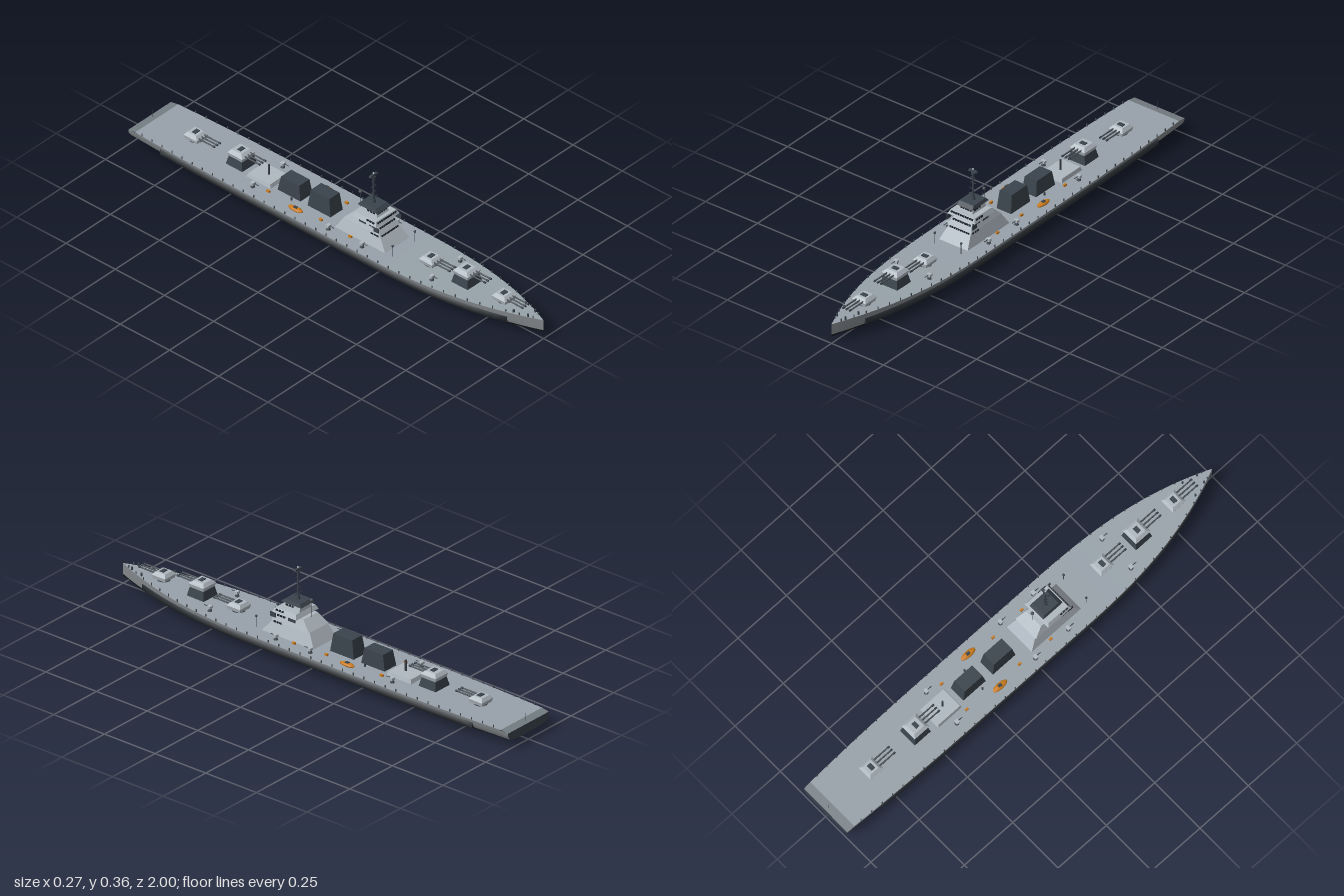
import * as THREE from 'three';

const mat = (color, side = THREE.FrontSide) => new THREE.MeshStandardMaterial({ color, side });
const M = {
  hull: mat(0x84898d, 2), bottom: mat(0x16191c, 2), deck: mat(0x98a2aa, 2), trim: mat(0x747d83, 2),
  dark: mat(0x3a434c, 2), belt: mat(0x2b3035, 2), light: mat(0xb0b9c1), glass: mat(0x1c232b),
  orange: mat(0xc97a1c), metal: mat(0x4a5259),
};

// Hull lines as functions of length
const halfBeam = z => z > 0.2 ? 0.135 * (1 - ((z - 0.2) / 0.8) ** 2.6)
  : z < -0.4 ? 0.135 - 0.015 * ((-0.4 - z) / 0.6) ** 2 : 0.135;
const deckY = z => 0.074 + 0.011 * THREE.MathUtils.smoothstep(z, 0.3, 1);
const keelY = z => 0.03 * Math.max(0, (Math.abs(z) - 0.4) / 0.6) ** 2;
const waterY = z => 0.036 + 0.003 * Math.abs(z) ** 3;
const stations = (a, b, n) => Array.from({ length: n + 1 }, (_, i) => a + (b - a) * i / n);

function loft(name, rows, material) {
  const n = rows[0].length, index = [];
  for (let i = 0; i < rows.length - 1; i++) for (let j = 0; j < n - 1; j++) {
    const a = i * n + j, b = a + n;
    index.push(a, b, a + 1, b, b + 1, a + 1);
  }
  const g = new THREE.BufferGeometry();
  g.setAttribute('position', new THREE.Float32BufferAttribute(rows.flat(2), 3));
  g.setIndex(index);
  g.computeVertexNormals();
  return named(new THREE.Mesh(g, material), name);
}

function named(o, name, x = 0, y = 0, z = 0) {
  o.name = name;
  o.position.set(x, y, z);
  return o;
}
const box = (name, w, h, d, x, y, z, m) => named(new THREE.Mesh(new THREE.BoxGeometry(w, h, d), m), name, x, y, z);
const cyl = (name, r, h, x, y, z, m, r2 = r) =>
  named(new THREE.Mesh(new THREE.CylinderGeometry(r2, r, h, 12), m), name, x, y, z);
const ball = (name, r, x, y, z, m) => named(new THREE.Mesh(new THREE.SphereGeometry(r, 12, 8), m), name, x, y, z);

// Tapered block: [half width, back z, front z] at the foot and at the top
function taper(name, y0, y1, foot, top, m) {
  const g = new THREE.BoxGeometry(2, 1, 1).toNonIndexed(), p = g.attributes.position;
  for (let i = 0; i < p.count; i++) {
    const up = p.getY(i) > 0, s = up ? top : foot;
    p.setXYZ(i, p.getX(i) * s[0], up ? y1 : y0, p.getZ(i) > 0 ? s[2] : s[1]);
  }
  g.computeVertexNormals();
  return named(new THREE.Mesh(g, m), name);
}

function buildHull() {
  const hull = named(new THREE.Group(), 'hull');
  const zs = [...stations(-1, 0.2, 24), ...stations(0.2, 1, 32).slice(1)];
  const wl = z => halfBeam(z) * 0.9;
  for (const s of [-1, 1]) {
    hull.add(loft('topside', zs.map(z => [
      [s * halfBeam(z), z < -0.99 ? 0.069 : deckY(z), z],
      [s * halfBeam(z) * 0.985, 0.055, z], [s * wl(z), waterY(z), z]]), M.hull));
    // Side belt standing just proud of the hull
    const belt = stations(-0.83, 0.86, 40);
    hull.add(loft('armourBelt', belt.map(z => {
      const o = s * (halfBeam(z) + 0.002), i = s * halfBeam(z) * 0.85;
      return [[i, 0.063, z], [o, 0.063, z], [o, 0.039, z], [i, 0.039, z]];
    }), M.belt));
    for (const z of [-0.83, 0.86]) {
      const w = halfBeam(z);
      hull.add(box('beltEnd', w * 0.15 + 0.002, 0.024, 0.001, s * (w * 0.925 + 0.001), 0.051, z, M.belt));
    }
  }
  hull.add(loft('underwaterHull', zs.map(z => stations(0, Math.PI, 20).map(a =>
    [wl(z) * Math.cos(a), waterY(z) - (waterY(z) - keelY(z)) * Math.sin(a), z])), M.bottom));
  hull.add(loft('deck', zs.filter(z => z > -0.965).concat(-0.965).sort((a, b) => a - b).map(z =>
    [[-halfBeam(z), deckY(z), z], [halfBeam(z), deckY(z), z]]), M.deck));
  hull.add(loft('sternRamp', [[-1, 0.069], [-0.965, 0.074]].map(([z, y]) =>
    [[-halfBeam(z), y, z], [halfBeam(z), y, z]]), M.trim));
  // Transom closes the stern
  const t = new THREE.Shape();
  t.moveTo(-0.12, 0.069).lineTo(0.12, 0.069).lineTo(0.118, 0.055);
  for (const a of stations(0, Math.PI, 20)) t.lineTo(0.108 * Math.cos(a), 0.039 - 0.009 * Math.sin(a));
  t.lineTo(-0.118, 0.055);
  hull.add(named(new THREE.Mesh(new THREE.ShapeGeometry(t), M.dark), 'transom', 0, 0, -1));
  return hull;
}

function buildTurret(z, raised) {
  const g = named(new THREE.Group(), 'gunTurret', 0, deckY(z), z);
  const k = raised ? 1.12 : 1, y = raised ? 0.036 : 0.006;
  if (raised) g.add(taper('barbette', 0, 0.036, [0.041, -0.042, 0.042], [0.033, -0.034, 0.034], M.dark));
  else g.add(cyl('turretRing', 0.027, 0.012, 0, 0.004, 0, M.dark));
  g.add(taper('gunHouseLower', y, y + 0.016, [0.029 * k, -0.03 * k, 0.03 * k], [0.033 * k, -0.034 * k, 0.034 * k], M.light));
  g.add(taper('gunHouseUpper', y + 0.016, y + 0.029, [0.033 * k, -0.034 * k, 0.034 * k], [0.022 * k, -0.024 * k, 0.02 * k], M.light));
  g.add(box('roofHatch', 0.026, 0.004, 0.018, 0, y + 0.03, 0, M.dark));
  for (const x of [-0.016, 0, 0.016]) {
    const b = cyl('gunBarrel', 0.0036, 0.08, x, y + 0.018, 0.068, M.metal, 0.0028);
    b.rotation.x = Math.PI / 2;
    const muzzle = cyl('muzzle', 0.0042, 0.01, x, y + 0.018, 0.105, M.dark);
    muzzle.rotation.x = Math.PI / 2;
    g.add(b, muzzle);
  }
  return g;
}

function buildTower() {
  const g = named(new THREE.Group(), 'superstructure');
  // name, y0, y1, foot, top, window count, window height
  const tiers = [
    ['deckHouse', 0.07, 0.128, [0.07, 0, 0.26], [0.052, 0.035, 0.215], 10, 0.122],
    ['middleHouse', 0.128, 0.167, [0.057, 0.035, 0.22], [0.042, 0.075, 0.195], 8, 0.15],
    ['bridge', 0.167, 0.185, [0.066, 0.09, 0.21], [0.057, 0.1, 0.2], 10, 0.178],
    ['upperBridge', 0.185, 0.208, [0.034, 0.1, 0.185], [0.027, 0.105, 0.175], 5, 0.197],
  ];
  for (const [name, y0, y1, foot, top, n, wy] of tiers) {
    g.add(taper(name, y0, y1, foot, top, M.light));
    const [hw, zb, zf] = foot.map((v, i) => v + (top[i] - v) * (wy - y0) / (y1 - y0));
    const pitch = 2 * hw * 0.9 / n;
    for (let i = 0; i < n; i++)
      g.add(box('window', pitch * 0.75, 0.007, 0.004, (i - (n - 1) / 2) * pitch, wy, zf, M.glass));
    for (const s of [-1, 1]) for (let i = 0; i < 3; i++)
      g.add(box('sideWindow', 0.004, 0.007, 0.01, s * hw, wy, zf - 0.014 - i * 0.014, M.glass));
  }
  g.add(taper('bridgeRoof', 0.207, 0.22, [0.038, 0.09, 0.19], [0.033, 0.1, 0.175], M.dark));
  for (const s of [-1, 1]) {
    g.add(box('wingScreen', 0.003, 0.02, 0.026, s * 0.063, 0.155, 0.207, M.dark));
    g.add(box('sideVent', 0.008, 0.018, 0.035, s * 0.047, 0.15, 0.125, M.dark));
  }
  // Mast with crossbars
  const z = 0.137;
  g.add(cyl('mast', 0.005, 0.125, 0, 0.28, z, M.dark, 0.0035));
  g.add(cyl('mastFoot', 0.01, 0.02, 0, 0.228, z, M.dark, 0.005));
  for (const [y, w] of [[0.242, 0.042], [0.265, 0.032], [0.292, 0.027], [0.317, 0.02]])
    g.add(box('crossbar', w, 0.002, 0.003, 0, y, z, M.dark));
  g.add(box('mastCap', 0.012, 0.008, 0.012, 0, 0.334, z, M.dark));
  g.add(taper('radarBar', 0.342, 0.349, [0.021, z - 0.006, z + 0.006], [0.018, z - 0.005, z + 0.005], M.dark));
  g.add(ball('mastLight', 0.004, 0, 0.353, z, M.light));
  g.add(cyl('lampStalk', 0.001, 0.07, 0, 0.2, 0.07, M.metal), ball('signalLamp', 0.007, 0, 0.235, 0.07, M.metal));
  return g;
}

function buildLightGun(x, z) {
  const g = named(new THREE.Group(), 'lightGun', x, deckY(z), z);
  g.add(cyl('mount', 0.009, 0.012, 0, 0.006, 0, M.metal, 0.006));
  g.add(box('shield', 0.018, 0.011, 0.014, 0, 0.017, 0, M.light));
  const b = cyl('barrel', 0.0016, 0.024, 0, 0.019, 0.015, M.dark);
  b.rotation.x = Math.PI / 2;
  return g.add(b);
}

function buildLifeboat(x) {
  const g = named(new THREE.Group(), 'lifeboat', x, 0.08, -0.18);
  const hull = ball('boatHull', 1, 0, 0, 0, M.orange);
  hull.scale.set(0.014, 0.008, 0.036);
  return g.add(hull, box('boatCabin', 0.012, 0.006, 0.016, 0, 0.007, 0, M.dark));
}

export function createModel() {
  const ship = named(new THREE.Group(), 'warship');
  ship.add(buildHull(), buildTower());
  for (const [z, raised] of [[0.8, 0], [0.61, 1], [0.43, 0], [-0.535, 1], [-0.765, 0]]) ship.add(buildTurret(z, raised));

  // Funnels, after hatch and its post
  ship.add(taper('funnel', 0.07, 0.15, [0.035, -0.168, -0.05], [0.029, -0.155, -0.062], M.dark));
  ship.add(taper('funnel', 0.07, 0.138, [0.035, -0.32, -0.203], [0.029, -0.307, -0.215], M.dark));
  ship.add(taper('afterHatch', 0.07, 0.09, [0.051, -0.465, -0.34], [0.046, -0.458, -0.347], M.light));
  ship.add(cyl('afterPost', 0.004, 0.055, 0, 0.108, -0.395, M.dark));
  ship.add(cyl('sternStaff', 0.001, 0.034, 0, 0.088, -0.985, M.metal));

  for (const s of [-1, 1]) {
    ship.add(buildLifeboat(s * 0.088));
    for (const [x, z] of [[0.085, -0.4], [0.097, -0.005], [0.097, 0.165], [0.08, 0.505]]) ship.add(buildLightGun(s * x, z));
    for (const [x, z] of [[0.07, -0.335], [0.073, -0.065], [0.08, 0.09]])
      ship.add(box('lifeRaft', 0.008, 0.008, 0.014, s * x, 0.078, z, M.orange));
    for (const [x, z] of [[0.05, -0.235], [0.02, 0.94], [0.035, 0.88]])
      ship.add(cyl('bollard', 0.004, 0.012, s * x, deckY(z) + 0.006, z, M.dark));
    ship.add(cyl('lampPost', 0.0012, 0.046, s * 0.063, 0.097, 0.29, M.metal), ball('lamp', 0.005, s * 0.063, 0.121, 0.29, M.dark));
    // Rail posts along the deck edge
    for (const z of stations(-0.93, 0.96, 36))
      ship.add(box('railPost', 0.003, 0.011, 0.004, s * (halfBeam(z) - 0.002), deckY(z) + 0.005, z, M.metal));
  }
  return ship;
}
